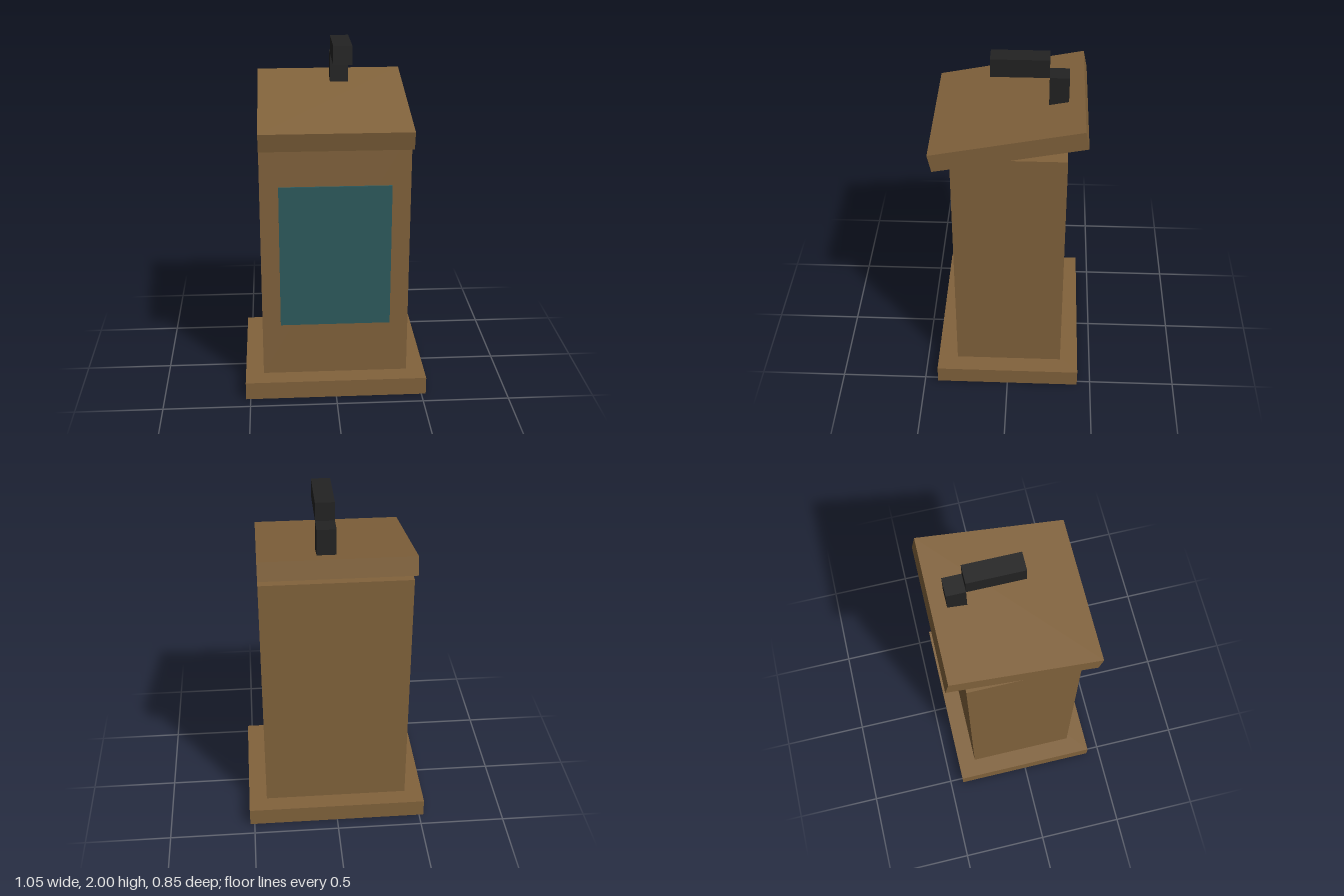
import * as THREE from 'three';

function material(name, color, side = THREE.FrontSide) {
  const m = new THREE.MeshStandardMaterial({ color, side });
  m.name = name;
  return m;
}

export function createModel() {
  const wood = material('wood', 0x82633c, THREE.DoubleSide);
  const teal = material('teal', 0x2e5b5e);
  const black = material('black', 0x232323);
  const group = new THREE.Group();
  group.name = 'lectern';

  // Box given by its minimum and maximum corners
  function box(name, mat, min, max) {
    const size = max.map((v, i) => v - min[i]);
    const mesh = new THREE.Mesh(new THREE.BoxGeometry(...size), mat);
    mesh.position.set(...max.map((v, i) => (v + min[i]) / 2));
    mesh.name = name;
    group.add(mesh);
    return mesh;
  }

  // Plinth, hollow and open underneath
  const base = box('base', wood, [-0.526, 0, -0.421], [0.526, 0.105, 0.421]);
  const index = Array.from(base.geometry.index.array);
  index.splice(18, 6); // drop the bottom face
  base.geometry.setIndex(index);
  base.geometry.clearGroups();

  // Cabinet and front panel
  box('body', wood, [-0.421, 0.105, -0.316], [0.421, 1.579, 0.306]);
  box('frontPanel', teal, [-0.316, 0.421, 0.3065], [0.316, 1.263, 0.316]);

  // Sloping reading desk
  const desk = box('readingDesk', wood, [-0.421, 1.579, -0.421], [0.421, 1.684, 0.421]);
  desk.rotation.x = 0.2;

  // Microphone post and arm
  box('microphonePost', black, [0, 1.684, -0.316], [0.105, 1.895, -0.21]);
  box('microphoneArm', black, [0, 1.895, -0.21], [0.105, 2, 0.105]);

  return group;
}
